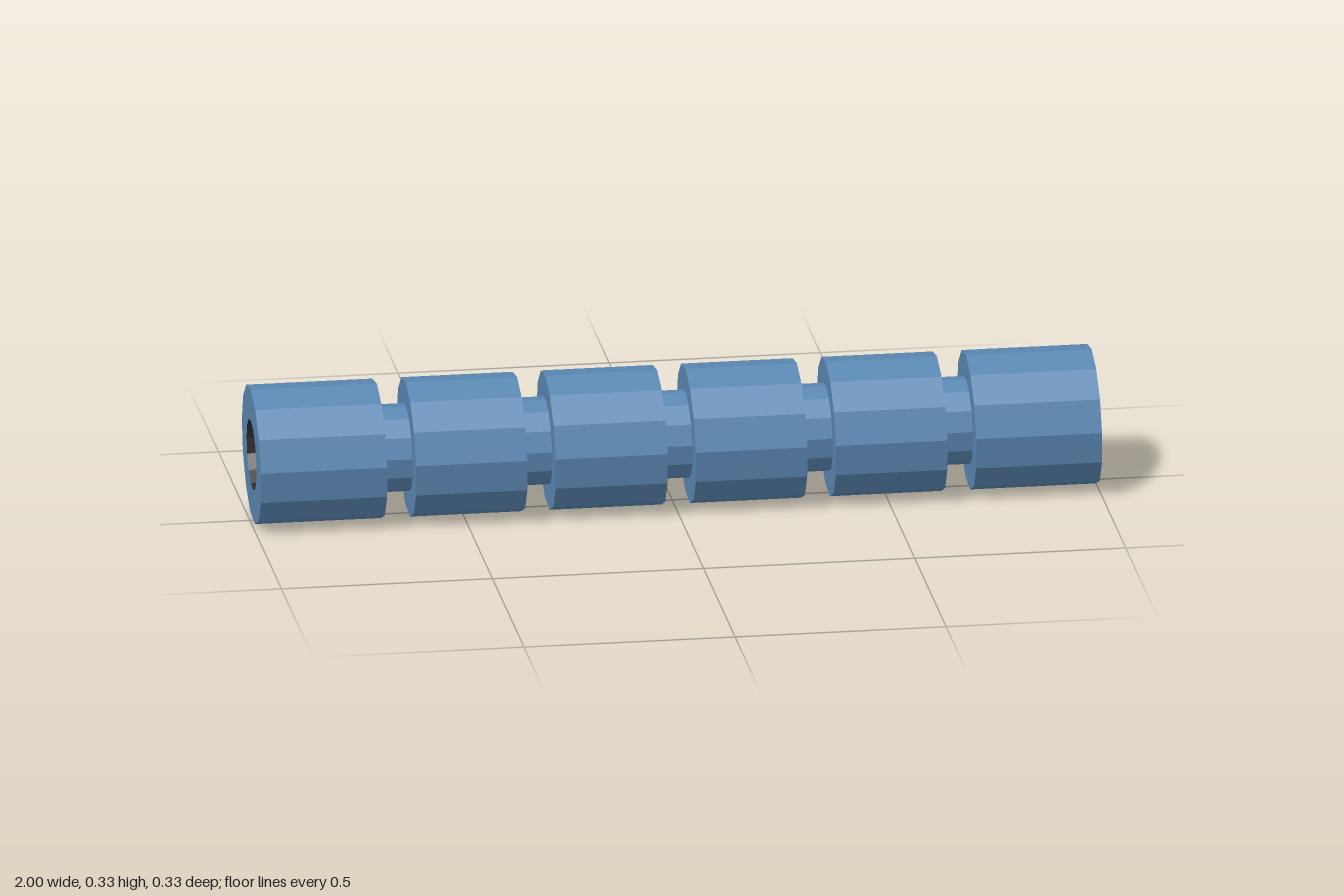
import * as THREE from 'three';

const SIDES = 13, CENTER_Y = 0.165;
const R_SLEEVE = 0.165, R_NECK = 0.104, R_HOLE = 0.085;

// Revolves [x, radius] points about the x axis, with slightly skewed end planes.
function revolve(name, points, material) {
  const profile = points.map(([x, r]) => new THREE.Vector2(r, x));
  const geo = new THREE.LatheGeometry(profile, SIDES, THREE.MathUtils.degToRad(-86));
  geo.rotateZ(-Math.PI / 2);
  const p = geo.attributes.position;
  for (let i = 0; i < p.count; i++) {
    p.setX(i, p.getX(i) - 0.024 * p.getY(i) - 0.012 * p.getZ(i));
  }
  geo.translate(0, CENTER_Y, 0);
  geo.computeVertexNormals();
  const mesh = new THREE.Mesh(geo, material);
  mesh.name = name;
  return mesh;
}

export function createModel() {
  const blue = new THREE.MeshStandardMaterial({ name: 'blueShell', color: 0x5b88b4, flatShading: true, side: THREE.DoubleSide });
  const dark = new THREE.MeshStandardMaterial({ name: 'darkBore', color: 0x2c2b2a, flatShading: true, side: THREE.DoubleSide });
  const group = new THREE.Group();
  group.name = 'groovedTube';

  // Six wide sleeves; the grooves between them are thin hollow necks
  const sleeves = [[-0.996, -0.697], [-0.629, -0.365], [-0.298, -0.033], [0.034, 0.298], [0.366, 0.63], [0.698, 0.996]];
  sleeves.forEach(([a, b], i) => {
    group.add(revolve('sleeve' + (i + 1), [[a, R_SLEEVE], [b, R_SLEEVE]], blue));
    if (i < sleeves.length - 1) {
      const next = sleeves[i + 1][0];
      group.add(revolve('groove' + (i + 1), [[b, R_SLEEVE], [b, R_NECK], [next, R_NECK], [next, R_SLEEVE]], blue));
    }
  });

  // Ring closing one end, and the tapering bore inside it; the other end stays open
  group.add(revolve('endRing', [[-0.996, R_HOLE], [-0.996, R_SLEEVE]], blue));
  group.add(revolve('bore', [[-0.996, R_HOLE], [-0.7, 0]], dark));
  return group;
}
